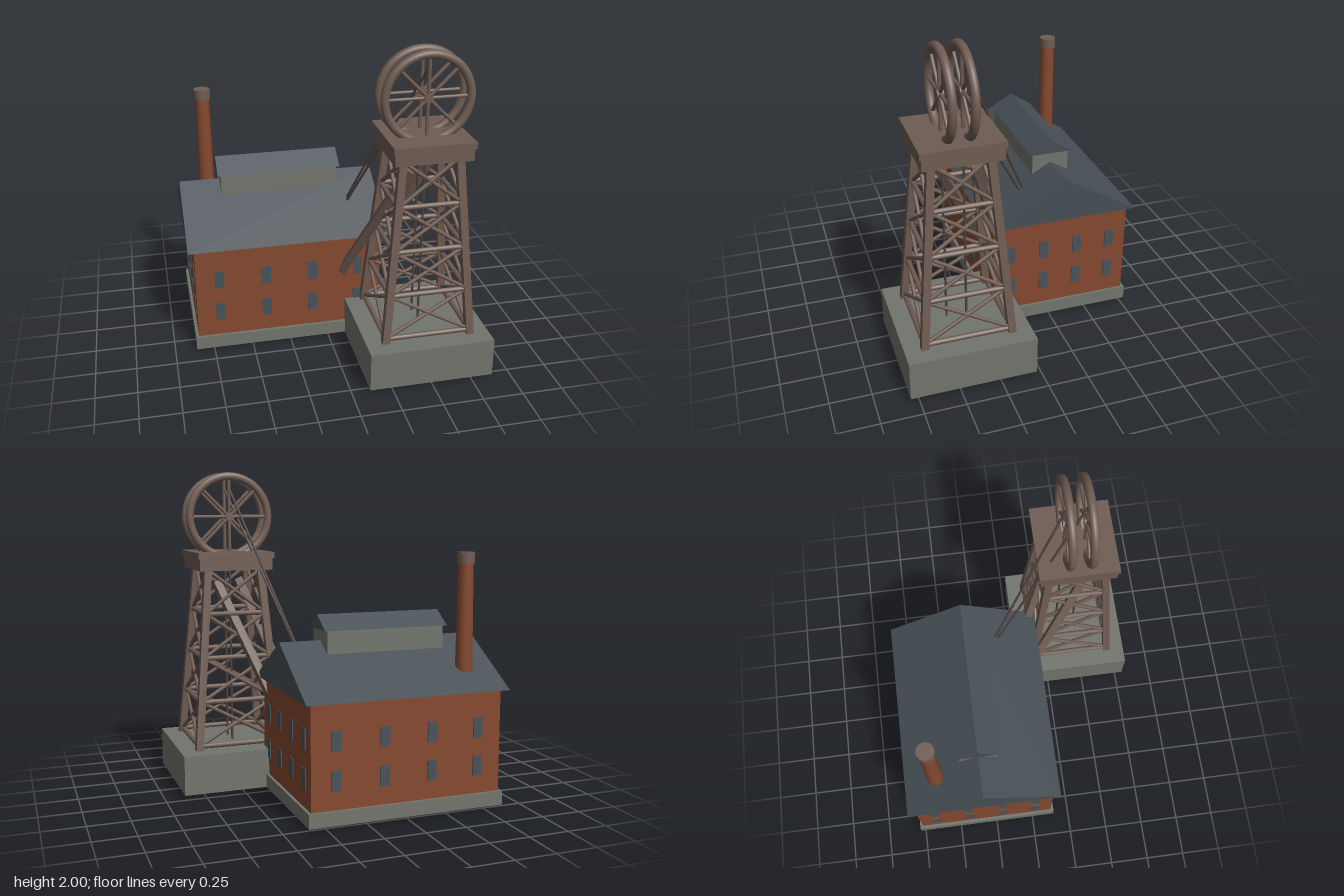
import * as THREE from 'three';

const mat = (name, color) => {
  const m = new THREE.MeshStandardMaterial({ color });
  m.name = name;
  return m;
};

export function createModel() {
  const root = new THREE.Group();
  root.name = 'mineHeadframe';
  const brick = mat('brick', 0x85492f);
  const slate = mat('slate', 0x474f55);
  const stone = mat('stone', 0x72756c);
  const timber = mat('timber', 0x6f5c52);
  const glass = mat('windowGlass', 0x46525a);
  const cable = mat('cable', 0x50443d);

  const group = (name) => {
    const g = new THREE.Group();
    g.name = name;
    root.add(g);
    return g;
  };
  const add = (parent, name, geo, material, x = 0, y = 0, z = 0) => {
    const m = new THREE.Mesh(geo, material);
    m.name = name;
    m.position.set(x, y, z);
    parent.add(m);
    return m;
  };
  // Box given by its centre, size and vertical extent
  const block = (parent, name, x, z, w, d, y0, y1, material) =>
    add(parent, name, new THREE.BoxGeometry(w, y1 - y0, d), material, x, (y0 + y1) / 2, z);
  // Straight member between two points, square or round
  const bar = (parent, name, a, b, size, material, round = true) => {
    const p = new THREE.Vector3(...a), q = new THREE.Vector3(...b);
    const dir = q.clone().sub(p), len = dir.length();
    const geo = round
      ? new THREE.CylinderGeometry(size / 2, size / 2, len, 8)
      : new THREE.BoxGeometry(size, len, size);
    const m = add(parent, name, geo, material);
    m.position.copy(p).add(q).multiplyScalar(0.5);
    m.quaternion.setFromUnitVectors(new THREE.Vector3(0, 1, 0), dir.normalize());
    return m;
  };
  // Gable roof with its ridge along x
  const gable = (parent, name, x, z, w, d, y0, y1) => {
    const s = new THREE.Shape();
    s.moveTo(-d / 2, 0);
    s.lineTo(d / 2, 0);
    s.lineTo(0, y1 - y0);
    const geo = new THREE.ExtrudeGeometry(s, { depth: w, bevelEnabled: false });
    geo.translate(0, 0, -w / 2).rotateY(Math.PI / 2);
    add(parent, name, geo, slate, x, y0, z);
  };

  // Engine house
  const house = group('engineHouse');
  const hx = -0.253, hz = -0.316, hw = 1.186, hd = 0.886;
  block(house, 'housePlinth', hx, hz, 1.222, 0.926, 0.02, 0.105, stone);
  block(house, 'brickWalls', hx, hz, hw, hd, 0.1, 0.722, brick);
  gable(house, 'mainRoof', hx, hz, 1.262, 0.968, 0.72, 1.0);
  block(house, 'roofLantern', hx, hz, 0.75, 0.236, 0.9, 1.071, stone);
  gable(house, 'lanternRoof', hx, hz, 0.79, 0.272, 1.07, 1.155);

  // Two rows of four windows on every wall
  for (const y of [0.275, 0.503]) {
    for (let i = 0; i < 4; i++) {
      for (const s of [-1, 1]) {
        const wx = hx + (i - 1.5) * hw / 4, wz = hz + (i - 1.5) * hd / 4;
        block(house, 'longWallWindow', wx, hz + s * (hd / 2 + 0.002), 0.058, 0.009, y - 0.06, y + 0.06, glass);
        block(house, 'endWallWindow', hx + s * (hw / 2 + 0.002), wz, 0.009, 0.058, y - 0.06, y + 0.06, glass);
      }
    }
  }

  // Chimney
  add(house, 'chimneyShaft', new THREE.CylinderGeometry(0.045, 0.053, 0.8, 16), brick, -0.688, 1.08, -0.595);
  add(house, 'chimneyCap', new THREE.CylinderGeometry(0.053, 0.053, 0.065, 16), timber, -0.688, 1.488, -0.595);

  // Headframe tower
  const tower = group('headframeTower');
  const tx = 0.495, tz = 0.415;
  block(tower, 'towerPlinth', tx, tz, 0.77, 0.77, 0.02, 0.265, stone);
  const half = (y) => 0.286 - 0.085 * (y - 0.02); // legs lean inward
  const corner = (k, y) => {
    const sx = [1, -1, -1, 1][k % 4], sz = [1, 1, -1, -1][k % 4];
    return [tx + sx * half(y), y, tz + sz * half(y)];
  };
  const levels = [0.29, 0.565, 0.84, 1.115, 1.39];
  for (let k = 0; k < 4; k++) {
    bar(tower, 'towerLeg', corner(k, 0.02), corner(k, 1.4), 0.046, timber, false);
    for (let i = 0; i < 4; i++) {
      const lo = levels[i], hi = levels[i + 1];
      bar(tower, 'crossRail', corner(k, lo), corner(k + 1, lo), 0.032, timber);
      bar(tower, 'diagonalBrace', corner(k, lo), corner(k + 1, hi), 0.024, timber);
      bar(tower, 'diagonalBrace', corner(k + 1, lo), corner(k, hi), 0.024, timber);
    }
  }
  block(tower, 'platformBeams', tx, tz, 0.466, 0.466, 1.388, 1.466, timber);
  block(tower, 'platformDeck', tx, tz, 0.486, 0.486, 1.462, 1.5, timber);

  // Raking struts toward the engine house
  bar(tower, 'rakingStrut', [0.395, 1.31, 0.515], [-0.065, 0.02, -0.01 - 0.1], 0.05, timber, false);
  bar(tower, 'rakingStrut', [0.595, 1.31, 0.315], [0.08, 0.02, -0.12], 0.05, timber, false);

  // Winding wheels with spokes, and their cables
  const wheels = group('windingWheels');
  for (const s of [-1, 1]) {
    const z = tz + s * 0.0625, y = 1.72;
    add(wheels, 'wheelRim', new THREE.TorusGeometry(0.254, 0.026, 12, 48), timber, tx, y, z);
    for (let i = 0; i < 4; i++) {
      const c = 0.25 * Math.cos(i * Math.PI / 4), d = 0.25 * Math.sin(i * Math.PI / 4);
      bar(wheels, 'wheelSpoke', [tx - c, y - d, z], [tx + c, y + d, z], 0.022, timber);
    }
    const hub = add(wheels, 'wheelHub', new THREE.CylinderGeometry(0.026, 0.026, 0.04, 16), timber, tx, y, z);
    hub.rotation.x = Math.PI / 2;
    bar(wheels, 'shaftCable', [tx, y, z], [tx, 0.2, z], 0.015, cable);
    bar(wheels, 'windingCable', [tx, 1.9, z], [0.165, 0.84, -0.12 + s * 0.012], 0.015, cable);
  }
  return root;
}
